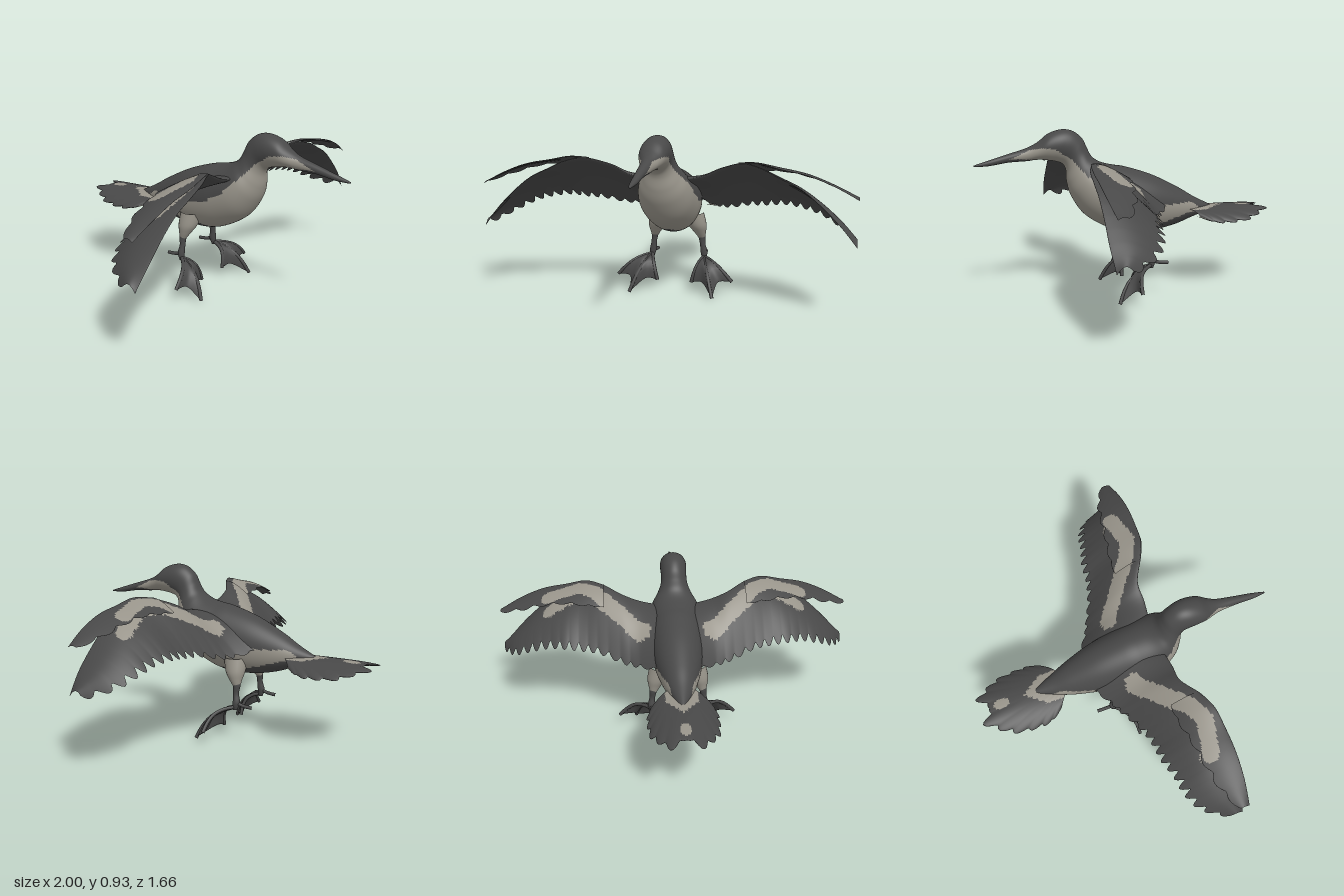
import * as THREE from 'three';

const dark = new THREE.MeshStandardMaterial({ color: 0x484848 });
dark.name = 'dark plumage';
const light = new THREE.MeshStandardMaterial({ color: 0x98948a });
light.name = 'pale plumage';

// Smoothly interpolates every column of a table of rows, t in 0..1
function sample(rows, t) {
  const n = rows.length - 1, f = t * n, i = Math.min(Math.floor(f), n - 1), k = f - i;
  const r = (j) => rows[Math.max(0, Math.min(n, j))];
  return rows[0].map((_, c) => {
    const [a, b, d, e] = [r(i - 1)[c], r(i)[c], r(i + 1)[c], r(i + 2)[c]];
    return b + 0.5 * k * (d - a + k * (2 * a - 5 * b + 4 * d - e + k * (3 * (b - d) + e - a)));
  });
}

// Closed rings swept along u; isLight chooses the colour of each cell
function loft(name, ring, nu, na, isLight = () => false, side = 1) {
  const pos = [], faces = [[], []];
  for (let i = 0; i <= nu; i++) {
    for (let j = 0; j < na; j++) {
      const [x, y, z] = ring(i / nu, (j / na) * Math.PI * 2);
      pos.push(x * side, y, z);
    }
  }
  for (let i = 0; i < nu; i++) {
    for (let j = 0; j < na; j++) {
      const a = i * na + j, b = i * na + ((j + 1) % na), c = b + na, d = a + na;
      const u = (i + 0.5) / nu, ang = ((j + 0.5) / na) * Math.PI * 2;
      const f = faces[isLight(ring(u, ang), ang, u) ? 1 : 0];
      if (side > 0) f.push(a, b, c, a, c, d);
      else f.push(a, c, b, a, d, c);
    }
  }
  const g = new THREE.BufferGeometry();
  g.setAttribute('position', new THREE.Float32BufferAttribute(pos, 3));
  g.setIndex([...faces[0], ...faces[1]]);
  g.addGroup(0, faces[0].length, 0);
  g.addGroup(faces[0].length, faces[1].length, 1);
  g.computeVertexNormals();
  const m = new THREE.Mesh(g, [dark, light]);
  m.name = name;
  return m;
}

// Tail to beak: back z,y, underside z,y, half width, pale band from..to (0 belly, 1 back)
const BODY = [
  [-0.50, 0.49, -0.50, 0.46, 0.015, 0, 0],
  [-0.40, 0.54, -0.38, 0.42, 0.06, 0.4, 0.62],
  [-0.30, 0.60, -0.28, 0.385, 0.095, 0.35, 0.58],
  [-0.15, 0.675, -0.15, 0.36, 0.13, 0.25, 0.5],
  [0.00, 0.725, 0.00, 0.36, 0.15, 0.2, 0.5],
  [0.08, 0.74, 0.12, 0.395, 0.155, 0.05, 0.52],
  [0.14, 0.755, 0.24, 0.47, 0.15, -0.1, 0.55],
  [0.18, 0.775, 0.31, 0.57, 0.13, -0.1, 0.55],
  [0.205, 0.80, 0.335, 0.65, 0.10, -0.1, 0.5],
  [0.225, 0.84, 0.34, 0.72, 0.078, -0.1, 0.4],
  [0.25, 0.89, 0.36, 0.755, 0.072, -0.1, 0.35],
  [0.30, 0.93, 0.40, 0.77, 0.075, -0.1, 0.36],
  [0.36, 0.94, 0.43, 0.775, 0.075, 0, 0.42],
  [0.43, 0.92, 0.47, 0.78, 0.068, 0.1, 0.48],
  [0.49, 0.875, 0.51, 0.78, 0.05, 0.15, 0.6],
  [0.55, 0.845, 0.55, 0.775, 0.034, 0.25, 0.7],
  [0.65, 0.815, 0.65, 0.77, 0.023, 0.4, 0.4],
  [0.75, 0.785, 0.75, 0.755, 0.016, 0, 0],
  [0.83, 0.76, 0.83, 0.752, 0.004, 0, 0],
];
function bodyRing(u, a) {
  const [z1, y1, z0, y0, w] = sample(BODY, u);
  const k = (1 - Math.cos(a)) / 2;
  return [Math.sin(a) * w, y0 + (y1 - y0) * k, z0 + (z1 - z0) * k];
}
function bodyLight(p, a, u) {
  const r = sample(BODY, u), f = 1 - Math.abs(1 - a / Math.PI);
  return f > r[5] && f < r[6];
}

// Root to tip: x, front edge z,y, rear edge z,y
const WING = [
  [0.07, 0.20, 0.69, -0.24, 0.52], [0.20, 0.215, 0.715, -0.15, 0.49],
  [0.30, 0.215, 0.76, -0.10, 0.49], [0.42, 0.28, 0.80, -0.045, 0.52],
  [0.52, 0.32, 0.785, -0.02, 0.53], [0.62, 0.325, 0.74, -0.01, 0.54],
  [0.72, 0.325, 0.69, 0.02, 0.53], [0.82, 0.325, 0.61, 0.04, 0.50],
  [0.92, 0.325, 0.51, 0.10, 0.45], [1.0, 0.315, 0.41, 0.23, 0.405],
];
const BLADE = [
  [0.40, 0.265, 0.80, 0.12, 0.73], [0.50, 0.31, 0.81, 0.12, 0.74],
  [0.62, 0.325, 0.785, 0.14, 0.745], [0.75, 0.33, 0.76, 0.16, 0.725],
  [0.88, 0.325, 0.71, 0.19, 0.685], [1.0, 0.31, 0.645, 0.25, 0.645],
];
// Ring runs rear edge, top, front edge, underside; the rear edge is cut into feather lobes
const wingRing = (rows, feathers, camber, thick) => (u, a) => {
  const [x, z1, y1, z0, y0] = sample(rows, u);
  const cut = (0.03 + 0.17 * u) * (1 - Math.abs(Math.sin(Math.PI * feathers * u)));
  const c = cut + ((1 - cut) * (1 - Math.cos(a))) / 2;
  const h = camber * Math.sin(Math.PI * c) + Math.sin(a) * thick * (1.1 - u) * (0.3 + c);
  return [x, y0 + (y1 - y0) * c + h, z0 + (z1 - z0) * c];
};

// Pale bar over the upper wing, plus a small shoulder spot
const BAR = [[0.20, 0.0], [0.46, 0.21], [0.55, 0.245], [0.71, 0.21]];
function wingLight([x, , z], a) {
  if (a > Math.PI) return false;
  if (Math.hypot((x - 0.165) / 0.02, z / 0.04) < 1) return true;
  return BAR.slice(1).some(([bx, bz], i) => {
    const [ax, az] = BAR[i], dx = bx - ax, dz = bz - az;
    const t = THREE.MathUtils.clamp(((x - ax) * dx + (z - az) * dz) / (dx * dx + dz * dz), 0, 1);
    return Math.hypot(x - ax - dx * t, z - az - dz * t) < 0.042;
  });
}

// Tail fan radius from the middle outwards
const FAN = [[0.47], [0.535], [0.48], [0.43], [0.36], [0.30], [0.25], [0.17]];
function tailRing(u, a) {
  const s = 2 * u - 1, ang = s * 0.93;
  const r = sample(FAN, Math.abs(s))[0];
  const lobes = 0.92 + 0.08 * Math.abs(Math.cos(Math.PI * 6.5 * s));
  const d = 0.03 + (r * lobes - 0.03) * ((1 + Math.cos(a)) / 2);
  const x = Math.sin(ang) * d, z = -0.30 - Math.cos(ang) * d;
  return [x, 0.475 - 1.8 * x * x + Math.sin(a) * 0.014, z];
}
function tailLight([x, , z], a) {
  const X = Math.abs(x);
  if (a > Math.PI) return z > -0.42;
  return Math.hypot(x / 0.027, (z + 0.7) / 0.045) < 1 ||
    (z > -0.57 + X * 1.3 && z < -0.36 && X < 0.085);
}

// Webbed foot: toe tips inner, middle, outer, joined at the heel
const HEEL = [0.155, 0.195, -0.1];
const TOES = [[0.10, 0.065, 0.0], [0.24, 0.012, 0.10], [0.335, 0.085, 0.0]];
function footPoint(u, c) {
  const f = u * 2, i = Math.min(1, Math.floor(f)), k = f - i;
  const reach = c * (1 - 0.22 * Math.sin(Math.PI * k));
  const bulge = 0.028 * Math.sin(Math.PI * c);
  return HEEL.map((h, n) => {
    const tip = TOES[i][n] + (TOES[i + 1][n] - TOES[i][n]) * k;
    return h + (tip - h) * reach + (n ? bulge : 0);
  });
}
function webRing(u, a) {
  const [x, y, z] = footPoint(u, (1 - Math.cos(a)) / 2), h = Math.sin(a) * 0.005;
  return [x, y + h, z + h];
}

// Upright limb, rows from bottom to top: x, y, z, radius
const limbRing = (rows) => (u, a) => {
  const [x, y, z, r] = sample(rows, u);
  return [x + Math.cos(a) * r, y, z - Math.sin(a) * r];
};
const SHANK = [[0.155, 0.18, -0.10, 0.012], [0.152, 0.22, -0.105, 0.02],
  [0.145, 0.27, -0.10, 0.016], [0.138, 0.32, -0.10, 0.022], [0.125, 0.38, -0.08, 0.03]];
const THIGH = [[0.138, 0.31, -0.10, 0.02], [0.13, 0.345, -0.09, 0.036],
  [0.115, 0.39, -0.08, 0.055], [0.09, 0.46, -0.07, 0.065]];

function toe(name, pts, side) {
  const curve = new THREE.CatmullRomCurve3(pts.map(([x, y, z]) => new THREE.Vector3(x * side, y, z)));
  const m = new THREE.Mesh(new THREE.TubeGeometry(curve, 12, 0.01, 8), dark);
  m.name = name;
  return m;
}

export function createModel() {
  const bird = new THREE.Group();
  bird.name = 'bird';
  bird.add(loft('bodyHeadAndBeak', bodyRing, 150, 64, bodyLight));
  bird.add(loft('tailFan', tailRing, 110, 64, tailLight));

  for (const side of [1, -1]) {
    const label = side > 0 ? 'left' : 'right';
    const wing = new THREE.Group();
    wing.name = label + 'Wing';
    wing.add(loft('wingFeathers', wingRing(WING, 17, 0.035, 0.022), 140, 64, wingLight, side));
    wing.add(loft('upperWingtip', wingRing(BLADE, 6, 0.01, 0.008), 70, 48, wingLight, side));

    const leg = new THREE.Group();
    leg.name = label + 'Leg';
    leg.add(loft('thigh', limbRing(THIGH), 16, 20, () => true, side));
    leg.add(loft('shank', limbRing(SHANK), 20, 14, undefined, side));
    leg.add(loft('footWeb', webRing, 40, 24, undefined, side));
    ['innerToe', 'middleToe', 'outerToe'].forEach((name, i) => {
      leg.add(toe(name, [0, 0.25, 0.5, 0.75, 1].map((c) => footPoint(i / 2, c)), side));
    });
    leg.add(toe('backToe', [[0.153, 0.22, -0.1], [0.15, 0.205, -0.15], [0.148, 0.2, -0.2]], side));
    bird.add(wing, leg);
  }
  return bird;
}
